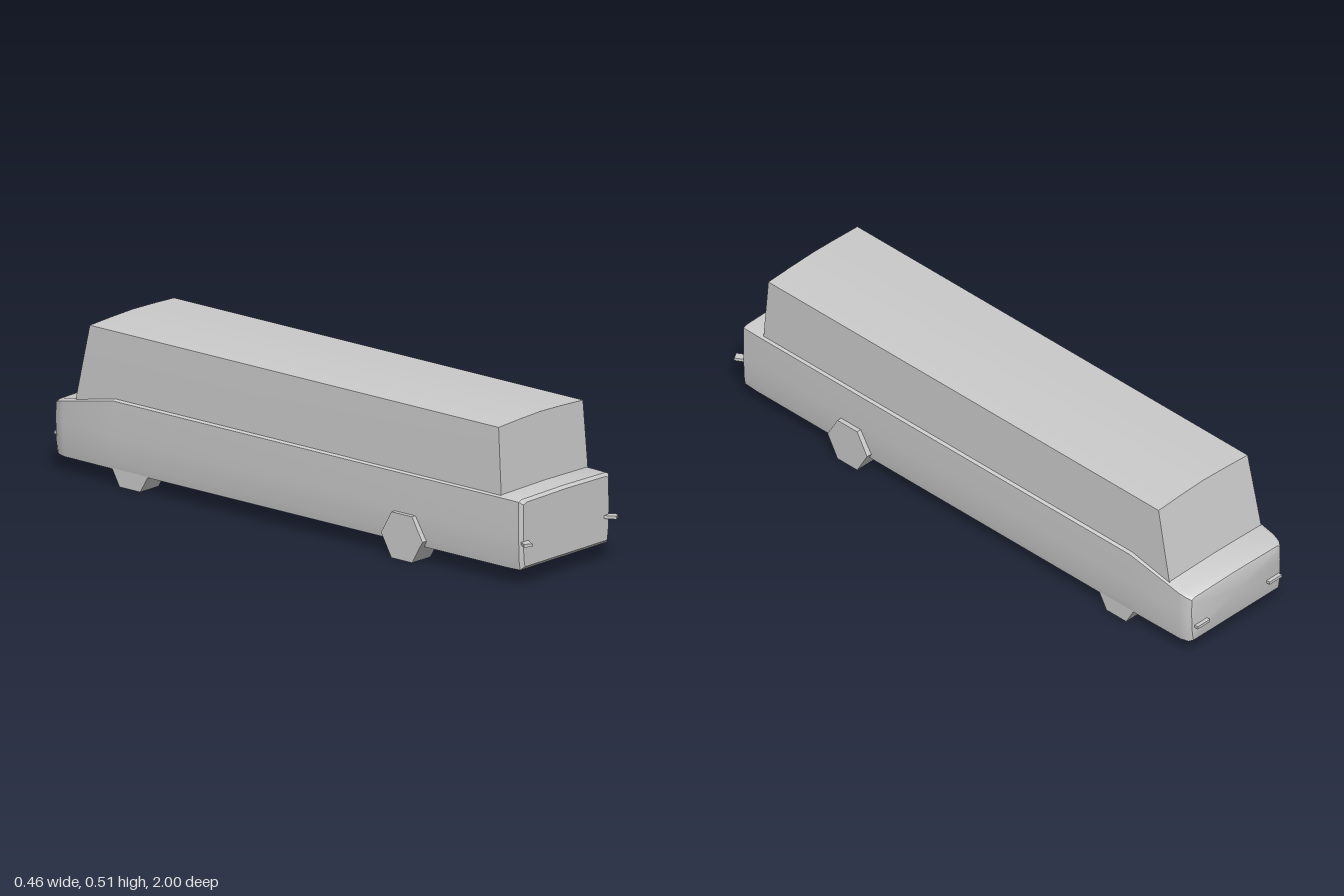
import * as THREE from 'three';
import { toCreasedNormals } from 'three/addons/utils/BufferGeometryUtils.js';

const material = new THREE.MeshStandardMaterial({ color: 0xcccccc });

function addMesh(parent, name, geometry) {
  const mesh = new THREE.Mesh(geometry, material);
  mesh.name = name;
  parent.add(mesh);
  return mesh;
}

// Turns a half outline (bottom to top, +x side) plus a crown point into a closed ring.
function mirrorRing(half, crown) {
  return [...half, crown, ...half.map(([x, y, z]) => [-x, y, z]).reverse()];
}

// Skins rings ordered from back to front and closes both ends.
function loft(rings, crease) {
  const n = rings[0].length;
  const points = rings.flat();
  const index = [];
  for (let i = 0; i < rings.length - 1; i++) {
    for (let j = 0; j < n; j++) {
      const a = i * n + j, b = i * n + (j + 1) % n;
      index.push(a, b, a + n, b, b + n, a + n);
    }
  }
  const addCap = (ring, first, front) => {
    const centre = points.length;
    points.push([0, 1, 2].map(k => ring.reduce((sum, p) => sum + p[k], 0) / n));
    for (let j = 0; j < n; j++) {
      const a = first + j, b = first + (j + 1) % n;
      index.push(centre, front ? a : b, front ? b : a);
    }
  };
  addCap(rings[0], 0, false);
  addCap(rings[rings.length - 1], (rings.length - 1) * n, true);
  const geometry = new THREE.BufferGeometry();
  geometry.setAttribute('position', new THREE.Float32BufferAttribute(points.flat(), 3));
  geometry.setIndex(index);
  return toCreasedNormals(geometry, crease);
}

// Lower body section: tucked-in sill, nearly upright side, softened shoulder.
function bodyRing([z, w, bottom, top]) {
  return mirrorRing([
    [w - 0.008, bottom, z],
    [w - 0.003, bottom + 0.03, z],
    [w, 0.165, z],
    [w - 0.001, top - 0.006, z],
    [w - 0.015, top, z],
  ], [0, top + 0.003, z]);
}

// Upper cabin section, leaning inwards as it rises.
function cabinRing(zBase, zTop) {
  const at = (x, y) => [x, y, THREE.MathUtils.lerp(zBase, zTop, (y - 0.25) / 0.25)];
  return mirrorRing([at(0.207, 0.2), at(0.204, 0.35), at(0.2, 0.5), at(0.1, 0.505)], at(0, 0.508));
}

export function createModel() {
  const model = new THREE.Group();
  model.name = 'longCar';

  // Lower body: z, half width, bottom, top
  const stations = [
    [-0.987, 0.188, 0.072, 0.215],
    [-0.983, 0.199, 0.062, 0.227],
    [-0.970, 0.208, 0.055, 0.234],
    [-0.940, 0.214, 0.053, 0.242],
    [-0.730, 0.217, 0.053, 0.284],
    [0.200, 0.217, 0.053, 0.284],
    [0.900, 0.216, 0.053, 0.284],
    [0.955, 0.214, 0.054, 0.283],
    [0.965, 0.203, 0.065, 0.274],
  ];
  addMesh(model, 'lowerBody', loft(stations.map(bodyRing), 0.55));

  // Cabin with sloping ends and a gently arched roof
  addMesh(model, 'cabin', loft([cabinRing(-0.893, -0.84), cabinRing(0.878, 0.86)], 0.4));

  // Six-sided wheels, flat side down; the front pair stands proud of the body
  const wheelGeometry = new THREE.CylinderGeometry(0.086, 0.086, 0.087, 6).toNonIndexed();
  wheelGeometry.rotateZ(Math.PI / 2);
  wheelGeometry.scale(1, 0.075 / (0.086 * Math.cos(Math.PI / 6)), 1);
  wheelGeometry.computeVertexNormals();

  for (const side of [1, -1]) {
    const prefix = side > 0 ? 'left' : 'right';
    for (const [end, x, z] of [['Front', 0.1885, 0.485], ['Rear', 0.166, -0.665]]) {
      addMesh(model, `${prefix}${end}Wheel`, wheelGeometry).position.set(side * x, 0.075, z);
    }

    // Front marker stubs splayed outwards
    const stub = addMesh(model, `${prefix}FrontStub`, new THREE.BoxGeometry(0.027, 0.01, 0.05));
    stub.position.set(side * 0.199, 0.143, 0.9715);
    stub.rotation.y = side * Math.PI / 6;

    // Rear marker bars
    addMesh(model, `${prefix}RearBar`, new THREE.BoxGeometry(0.055, 0.01, 0.03))
      .position.set(side * 0.161, 0.117, -0.985);
  }
  return model;
}
